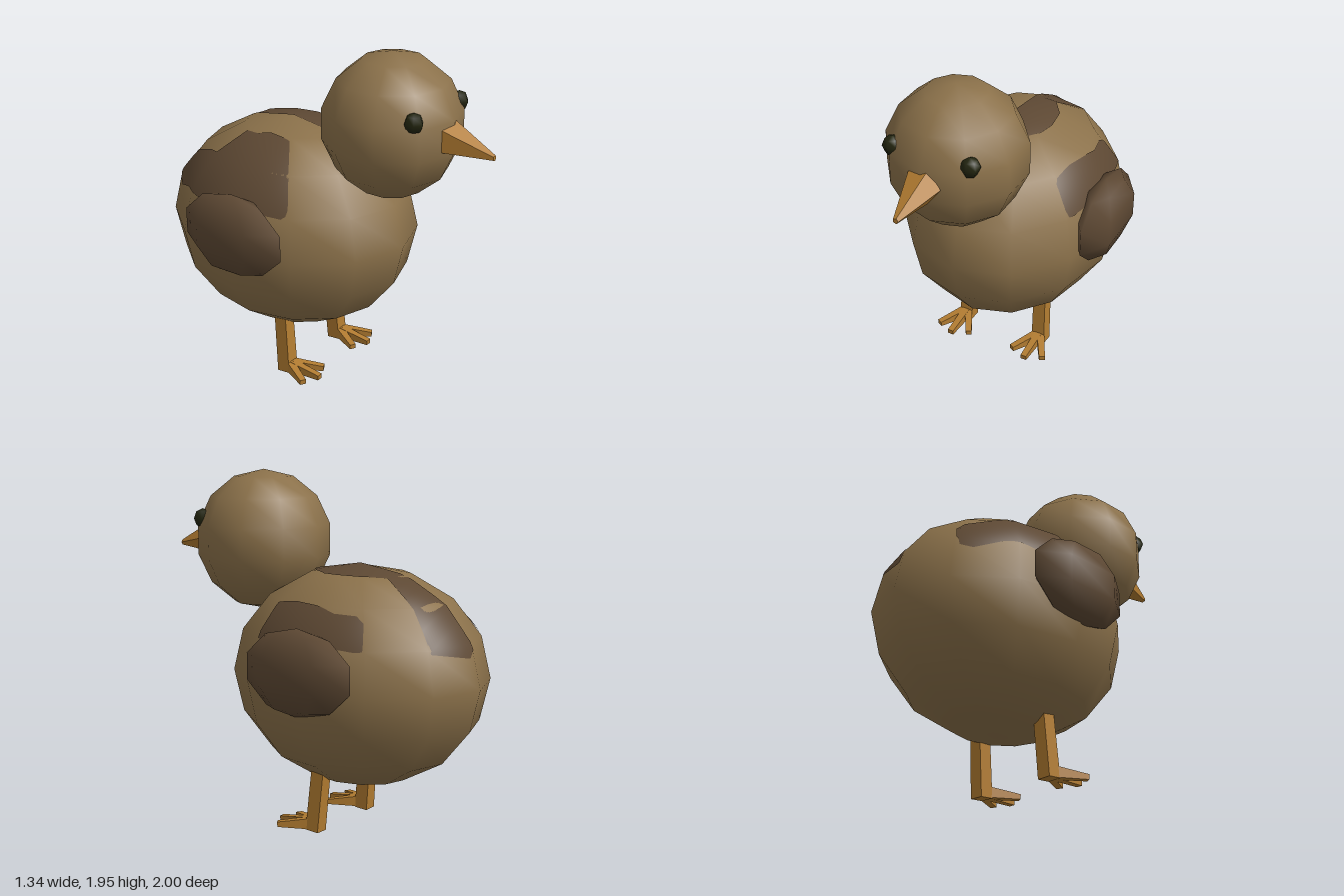
import * as THREE from 'three';

const mat = (name, color) => {
  const m = new THREE.MeshStandardMaterial({ color });
  m.name = name;
  return m;
};

const BODY = { c: new THREE.Vector3(0, 0.855, -0.262), r: new THREE.Vector3(0.605, 0.605, 0.738) };

// Ellipsoid with a chosen number of sides, scaled and placed
function ellipsoid(sides, rings, r, c, phiStart = 0) {
  return new THREE.SphereGeometry(1, sides, rings, phiStart).scale(r.x, r.y, r.z).translate(c.x, c.y, c.z);
}

// Square bar from a to b, with its own width and height at each end
function bar(a, b, [wa, ha], [wb, hb]) {
  const g = new THREE.BoxGeometry(1, 1, 1);
  const dir = b.clone().sub(a);
  const up = Math.abs(dir.y) > Math.abs(dir.z) ? new THREE.Vector3(0, 0, 1) : new THREE.Vector3(0, 1, 0);
  const side = up.clone().cross(dir).normalize();
  const top = dir.clone().normalize().cross(side);
  const p = g.attributes.position;
  for (let i = 0; i < p.count; i++) {
    const t = p.getZ(i) + 0.5;
    const v = a.clone().addScaledVector(dir, t)
      .addScaledVector(side, p.getX(i) * THREE.MathUtils.lerp(wa, wb, t))
      .addScaledVector(top, p.getY(i) * THREE.MathUtils.lerp(ha, hb, t));
    p.setXYZ(i, v.x, v.y, v.z);
  }
  g.computeVertexNormals();
  return g;
}

// Planes of the upper body facets, used to lay the plumage stripes on the surface
function upperPlanes(geometry) {
  const g = geometry.toNonIndexed(), p = g.attributes.position, planes = [];
  for (let i = 0; i < p.count; i += 3) {
    const [a, b, c] = [0, 1, 2].map((k) => new THREE.Vector3().fromBufferAttribute(p, i + k));
    const plane = new THREE.Plane().setFromCoplanarPoints(a, b, c);
    if (plane.normal.y > 0.01) planes.push(plane);
  }
  return planes;
}

// Thin patch following the body: rows of [z, xMin, xMax]
function stripe(rows, planes) {
  const COLS = 14, SUB = 5, pos = [], nor = [], idx = [];
  const lines = [];
  for (let i = 0; i < rows.length - 1; i++) {
    for (let s = 0; s < SUB; s++) {
      lines.push(rows[i].map((v, k) => THREE.MathUtils.lerp(v, rows[i + 1][k], s / SUB)));
    }
  }
  lines.push(rows[rows.length - 1]);
  lines.forEach(([z, x0, x1], j) => {
    for (let i = 0; i <= COLS; i++) {
      const x = THREE.MathUtils.lerp(x0, x1, i / COLS);
      const y = Math.min(...planes.map((q) => -(q.normal.x * x + q.normal.z * z + q.constant) / q.normal.y));
      const v = new THREE.Vector3(x, y, z);
      const n = v.clone().sub(BODY.c).divide(BODY.r).divide(BODY.r).normalize();
      v.addScaledVector(n, 0.005);
      pos.push(v.x, v.y, v.z);
      nor.push(n.x, n.y, n.z);
      if (j > 0 && i > 0) {
        const d = j * (COLS + 1) + i, c = d - 1, b = d - COLS - 1, a = b - 1;
        idx.push(a, c, b, b, c, d);
      }
    }
  });
  const g = new THREE.BufferGeometry();
  g.setAttribute('position', new THREE.Float32BufferAttribute(pos, 3));
  g.setAttribute('normal', new THREE.Float32BufferAttribute(nor, 3));
  g.setIndex(idx);
  return g;
}

export function createModel() {
  const model = new THREE.Group();
  model.name = 'chick';
  const down = mat('brown down', 0x8b714a);
  const dark = mat('dark plumage', 0x5d4833);
  const horn = mat('orange horn', 0xb27c31);
  const black = mat('eye black', 0x22240f);
  const V = (x, y, z) => new THREE.Vector3(x, y, z);
  const add = (name, geometry, material, parent = model) => {
    const m = new THREE.Mesh(geometry, material);
    m.name = name;
    parent.add(m);
    return m;
  };

  // Body and head
  const bodyGeo = ellipsoid(12, 8, BODY.r, BODY.c);
  add('body', bodyGeo, down);
  add('head', ellipsoid(10, 7, V(0.382, 0.393, 0.382), V(0, 1.552, 0.392), Math.PI / 2), down);

  // Plumage stripes on the back
  const planes = upperPlanes(bodyGeo);
  add('backStripe', stripe([
    [-0.95, 0, 0.03], [-0.86, 0, 0.27], [-0.51, 0, 0.127], [-0.4, 0, 0.2],
    [-0.26, 0, 0.22], [-0.16, 0, 0.2], [-0.06, 0, 0.127], [0.01, 0, 0.04],
  ], planes), dark);
  add('rightStripe', stripe([
    [-0.84, -0.3, -0.275], [-0.79, -0.345, -0.22], [-0.59, -0.487, -0.315], [-0.52, -0.505, -0.35],
    [-0.41, -0.53, -0.217], [-0.32, -0.545, -0.23], [-0.25, -0.555, -0.206], [-0.12, -0.525, -0.217],
    [0.03, -0.495, -0.43], [0.05, -0.48, -0.46],
  ], planes), dark);
  add('leftStripe', stripe([
    [-0.59, 0.48, 0.487], [-0.55, 0.41, 0.497], [-0.5, 0.4, 0.507], [-0.38, 0.423, 0.53],
    [-0.26, 0.423, 0.555], [-0.13, 0.39, 0.528], [0, 0.377, 0.5], [0.02, 0.385, 0.497], [0.06, 0.46, 0.485],
  ], planes), dark);

  // Five-sided beak, sheared so that its tip drops
  const beak = new THREE.CylinderGeometry(0.016, 0.1, 0.26, 5, 1, false, Math.PI / 2)
    .rotateX(Math.PI / 2).translate(0, 1.55, 0.87).toNonIndexed();
  const bp = beak.attributes.position;
  for (let i = 0; i < bp.count; i++) bp.setY(i, bp.getY(i) - 0.053 * (bp.getZ(i) - 0.74) / 0.26);
  beak.computeVertexNormals();
  add('beak', beak, horn);

  // Paired parts
  for (const [side, s] of [['left', 1], ['right', -1]]) {
    add(`${side}Wing`, ellipsoid(6, 5, V(0.127, 0.233, 0.342), V(s * 0.565, 0.952, -0.247), Math.PI / 2), dark);
    add(`${side}Eye`, ellipsoid(6, 4, V(0.052, 0.055, 0.055), V(s * 0.219, 1.672, 0.657), Math.PI / 6), black);

    const leg = new THREE.Group();
    leg.name = `${side}Leg`;
    model.add(leg);
    add('shin', bar(V(s * 0.245, 0.004, -0.136), V(s * 0.233, 0.4, -0.17), [0.08, 0.08], [0.074, 0.076]), horn, leg);
    for (const [name, dx, z] of [['innerToe', -0.1, 0.05], ['middleToe', 0, 0.094], ['outerToe', 0.1, 0.05]]) {
      add(name, bar(V(s * 0.245, 0.042, -0.13), V(s * (0.245 + dx), 0.03, z), [0.045, 0.066], [0.035, 0.028]), horn, leg);
    }
  }
  return model;
}
